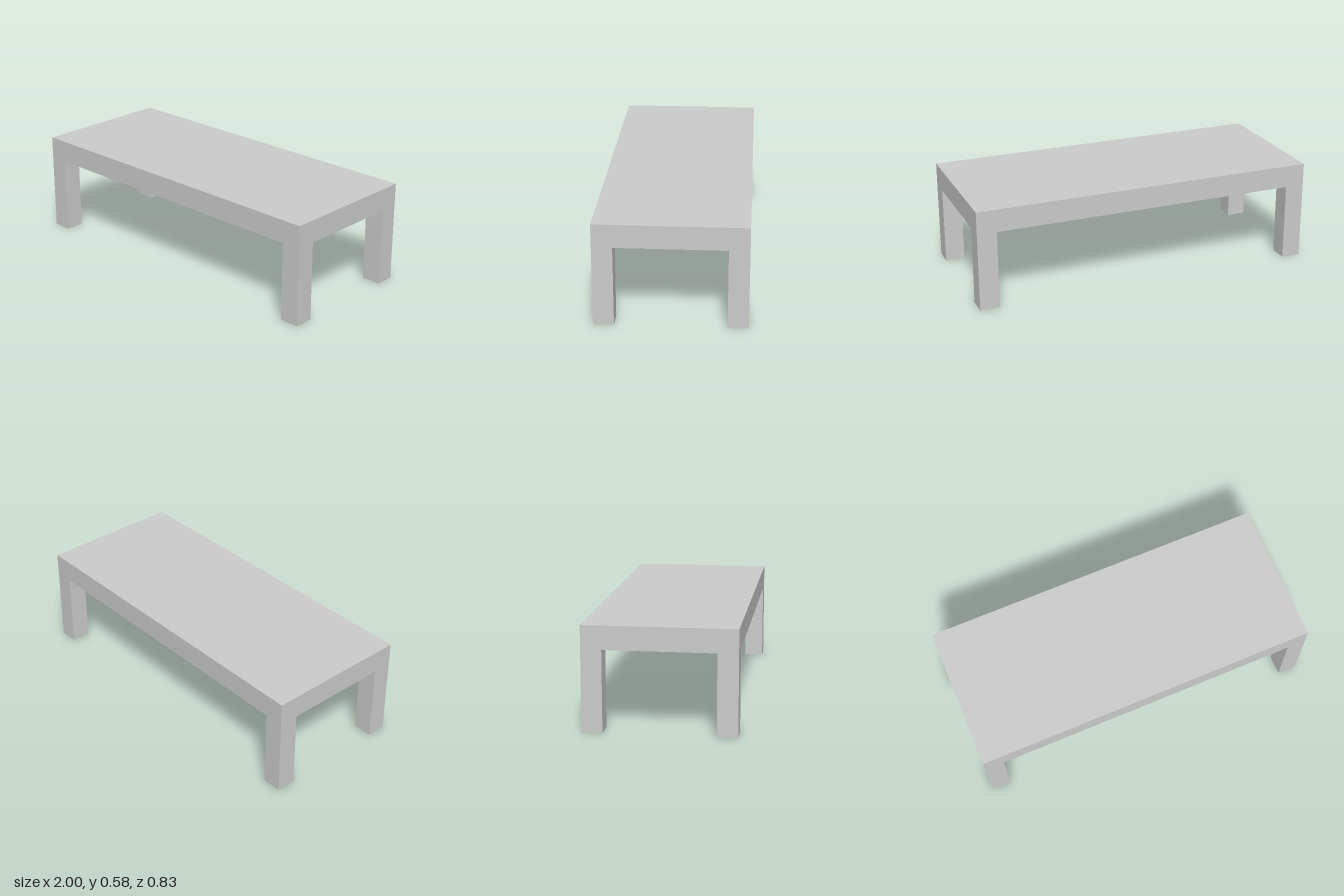
import * as THREE from 'three';

const WIDTH = 2, DEPTH = 0.83, HEIGHT = 0.58;
const SLAB = 0.13; // tabletop thickness
const LEG = 0.112; // square leg section

export function createModel() {
  const table = new THREE.Group();
  table.name = 'table';
  const material = new THREE.MeshStandardMaterial({ color: 0xcccccc, flatShading: true });

  // Thick tabletop
  const top = new THREE.Mesh(new THREE.BoxGeometry(WIDTH, SLAB, DEPTH), material);
  top.name = 'tabletop';
  top.position.y = HEIGHT - SLAB / 2;
  table.add(top);

  // Four square legs, flush with the corners
  const legHeight = HEIGHT - SLAB;
  const legGeometry = new THREE.BoxGeometry(LEG, legHeight, LEG);
  for (const [zName, z] of [['front', 1], ['back', -1]]) {
    for (const [xName, x] of [['Left', 1], ['Right', -1]]) {
      const leg = new THREE.Mesh(legGeometry, material);
      leg.name = `${zName}${xName}Leg`;
      leg.position.set(x * (WIDTH - LEG) / 2, legHeight / 2, z * (DEPTH - LEG) / 2);
      table.add(leg);
    }
  }
  return table;
}
